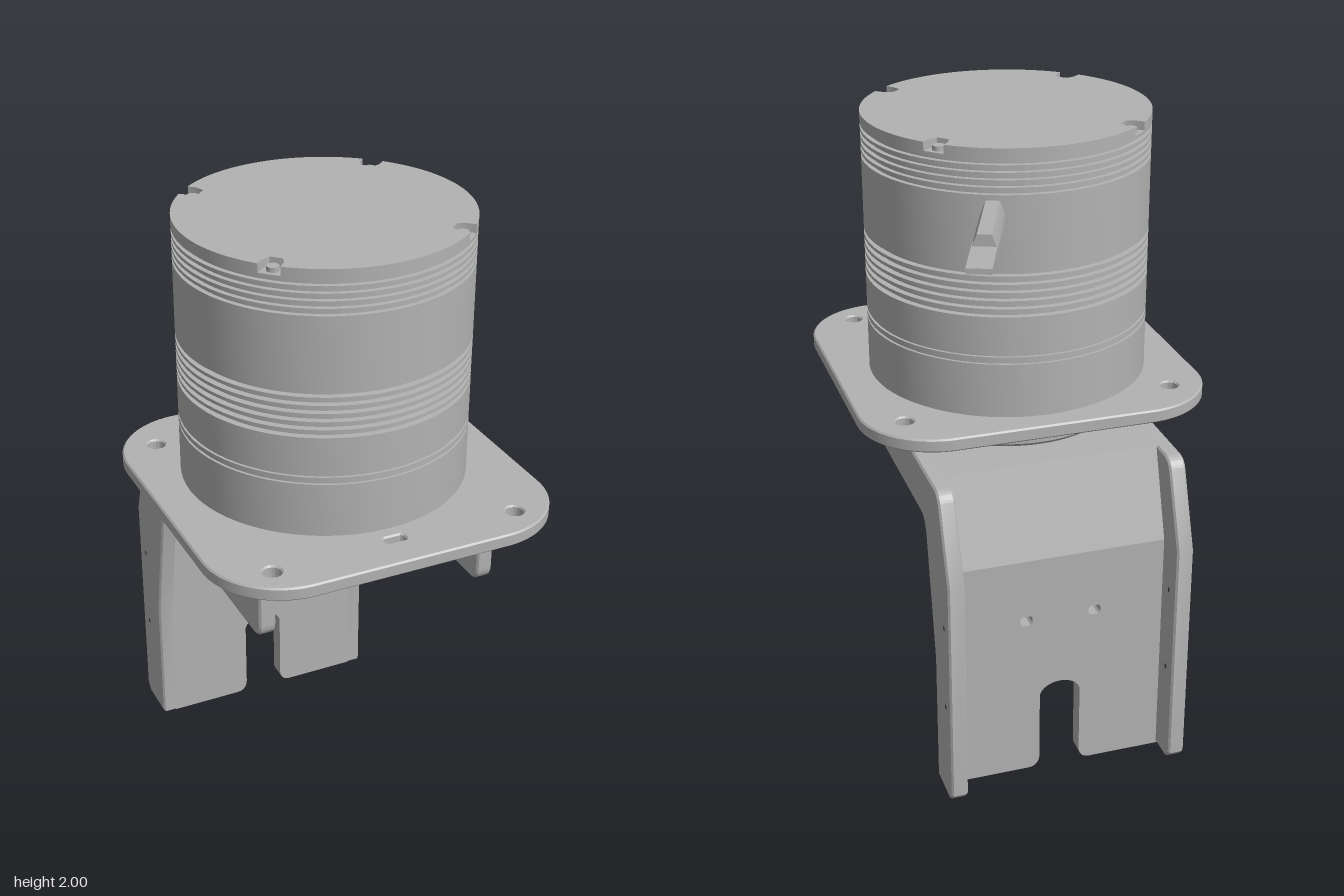
import * as THREE from 'three';
import { toCreasedNormals } from 'three/addons/utils/BufferGeometryUtils.js';

const CZ = 0.112; // z of the sensor axis

export function createModel() {
  const model = new THREE.Group();
  model.name = 'sensorOnBracket';
  const grey = new THREE.MeshStandardMaterial({ color: 0xb2b2b2 });
  grey.name = 'machined grey';

  const add = (name, geo, parent = model) => {
    const mesh = new THREE.Mesh(toCreasedNormals(geo, 0.5), grey);
    mesh.name = name;
    parent.add(mesh);
    return mesh;
  };
  const poly = (pts) => new THREE.Shape(pts.map(([x, y]) => new THREE.Vector2(x, y)));
  const hole = (shape, x, y, r) => shape.holes.push(new THREE.Path().absarc(x, y, r, 0, Math.PI * 2, true));
  const slot = (shape, x, y, w, h) => shape.holes.push(new THREE.Path([
    [-w, -h + 0.006], [-w, h - 0.006], [-w + 0.006, h], [w - 0.006, h],
    [w, h - 0.006], [w, -h + 0.006], [w - 0.006, -h], [-w + 0.006, -h],
  ].map(([a, b]) => new THREE.Vector2(x + a, y + b))));
  // extrusion whose full thickness, bevels included, runs from 0 to t
  const extrude = (shape, t, bevel = 0) => new THREE.ExtrudeGeometry(shape, {
    depth: t - 2 * bevel, bevelEnabled: bevel > 0, bevelThickness: bevel, bevelSize: bevel,
    bevelOffset: -bevel, bevelSegments: 1, curveSegments: 24,
  }).translate(0, 0, bevel);
  // shape drawn in (x, z), laid flat with its top at y
  const flat = (shape, top, t, bevel) => extrude(shape, t, bevel).rotateX(Math.PI / 2).translate(0, top, 0);
  // shape drawn in (z, y), extruded across x and ending at xMax
  const across = (shape, xMax, t, bevel) => extrude(shape, t, bevel).rotateY(-Math.PI / 2).translate(xMax, 0, 0);

  // Ribbed sensor body
  const R = 0.435;
  const profile = [[0, 1.165], [0.42, 1.165], [0.42, 1.18], [R, 1.185]];
  const groove = (y0, y1, r) => profile.push([R, y0], [r, y0], [r, y1], [R, y1]);
  groove(1.352, 1.36, 0.427);
  groove(1.375, 1.385, 0.427);
  for (let i = 0; i < 6; i++) groove(1.5 + i * 0.025, 1.515 + i * 0.025, 0.415);
  for (let i = 0; i < 5; i++) groove(1.866 + i * 0.0215, 1.878 + i * 0.0215, 0.42);
  profile.push([R, 1.974], [0, 1.974]);
  add('sensorBody', new THREE.LatheGeometry(profile.map(([x, y]) => new THREE.Vector2(x, y)), 72)
    .translate(0, 0, CZ));

  // Lid with four screw notches
  const lid = new THREE.Shape();
  for (let i = 0; i < 4; i++) {
    const a = Math.PI / 4 + i * Math.PI / 2, w = 0.075;
    const at = (r, t) => [r * Math.cos(t), r * Math.sin(t)];
    if (i === 0) lid.moveTo(...at(R, a - w));
    lid.lineTo(...at(0.405, a - w));
    lid.lineTo(...at(0.38, a - 0.05));
    lid.lineTo(...at(0.38, a + 0.05));
    lid.lineTo(...at(0.405, a + w));
    lid.lineTo(...at(R, a + w));
    lid.absarc(0, 0, R, a + w, a + Math.PI / 2 - w, false);
    add('lidScrew', new THREE.CylinderGeometry(0.018, 0.018, 0.016, 16)
      .translate(0.405 * Math.cos(a), 1.98, CZ + 0.405 * Math.sin(a)));
  }
  add('lid', flat(lid, 2, 0.028, 0).translate(0, 0, CZ));

  // Cable plug, leaving the body at the back
  const plug = new THREE.Group();
  plug.name = 'cablePlug';
  plug.position.set(0.165, 0, -0.29);
  plug.rotation.y = Math.PI - 0.378;
  model.add(plug);
  add('plugShell', extrude(poly([[-0.035, 1.793], [0.035, 1.793], [0.035, 1.812], [0.02, 1.85],
    [-0.02, 1.85], [-0.035, 1.812]]), 0.31).translate(0, 0, -0.03), plug);
  add('plugTongue', new THREE.BoxGeometry(0.07, 0.016, 0.2).translate(0, 1.808, 0.345), plug);

  // Rounded mounting plate
  const x1 = 0.545, z0 = -0.38, z1 = 0.71, r = 0.24, H = Math.PI / 2;
  const plate = new THREE.Shape();
  plate.absarc(x1 - r, z1 - r, r, 0, H, false);
  plate.absarc(-x1 + r, z1 - r, r, H, 2 * H, false);
  plate.absarc(-x1 + r, z0 + r, r, 2 * H, 3 * H, false);
  plate.absarc(x1 - r, z0 + r, r, 3 * H, 4 * H, false);
  for (const s of [-1, 1]) {
    hole(plate, s * 0.42, -0.22, 0.027);
    hole(plate, s * 0.387, 0.6, 0.027);
  }
  slot(plate, 0, 0.59, 0.032, 0.016);
  add('mountingPlate', flat(plate, 1.176, 0.042, 0.005));

  // Hub between plate and bracket
  add('hub', new THREE.LatheGeometry([[0, 1.04], [0.34, 1.04], [0.348, 1.05], [0.348, 1.12],
    [0.33, 1.125], [0.33, 1.14], [0, 1.14]].map(([x, y]) => new THREE.Vector2(x, y)), 64)
    .translate(0, 0, CZ));

  // Bracket: two bent side flanges
  const bracket = new THREE.Group();
  bracket.name = 'bracket';
  model.add(bracket);
  for (const s of [-1, 1]) {
    const side = new THREE.Shape();
    side.moveTo(0.5, 1.04);
    side.lineTo(0.5, 0.925);
    side.quadraticCurveTo(0.5, 0.88, 0.455, 0.88);
    side.lineTo(-0.25, 0.88);
    side.quadraticCurveTo(-0.295, 0.88, -0.305, 0.82);
    side.lineTo(-0.38, 0.44);
    side.lineTo(-0.38, 0.003);
    side.lineTo(-0.515, 0.003);
    side.lineTo(-0.542, 0.03);
    side.lineTo(-0.542, 0.77);
    side.lineTo(-0.455, 1.01);
    side.quadraticCurveTo(-0.44, 1.04, -0.405, 1.04);
    hole(side, -0.487, 0.61, 0.014);
    hole(side, -0.487, 0.33, 0.014);
    add('sideFlange', across(side, s > 0 ? 0.385 : -0.333, 0.052, 0.006), bracket);
  }

  // Bracket: upright web with cable slot and two small holes
  const web = new THREE.Shape();
  web.moveTo(-0.34, 0);
  web.lineTo(-0.105, 0);
  web.quadraticCurveTo(-0.066, 0, -0.066, 0.045);
  web.lineTo(-0.066, 0.27);
  web.bezierCurveTo(-0.05, 0.325, 0.05, 0.325, 0.066, 0.27);
  web.lineTo(0.066, 0.045);
  web.quadraticCurveTo(0.066, 0, 0.105, 0);
  web.lineTo(0.34, 0);
  web.lineTo(0.34, 0.76);
  web.lineTo(-0.34, 0.76);
  for (const s of [-1, 1]) slot(web, s * 0.11, 0.55, 0.019, 0.016);
  add('uprightWeb', extrude(web, 0.055).translate(0, 0, -0.435), bracket);

  // Bracket: sloped web joining the upright to the shelf
  add('slopedWeb', across(poly([[-0.38, 0.75], [-0.435, 0.76], [-0.345, 1.04], [-0.28, 1.04],
    [-0.3, 0.99]]), 0.34, 0.68), bracket);

  // Bracket: shelf with centre opening and a ring of screw holes
  const shelf = poly([[-0.34, -0.33], [0.34, -0.33], [0.34, 0.5], [-0.34, 0.5]]);
  hole(shelf, 0, CZ, 0.22);
  for (let i = 0; i < 16; i++) {
    const a = (i + 0.5) * Math.PI / 8;
    hole(shelf, 0.285 * Math.cos(a), CZ + 0.285 * Math.sin(a), 0.016);
  }
  add('shelf', flat(shelf, 1.04, 0.05), bracket);

  return model;
}
